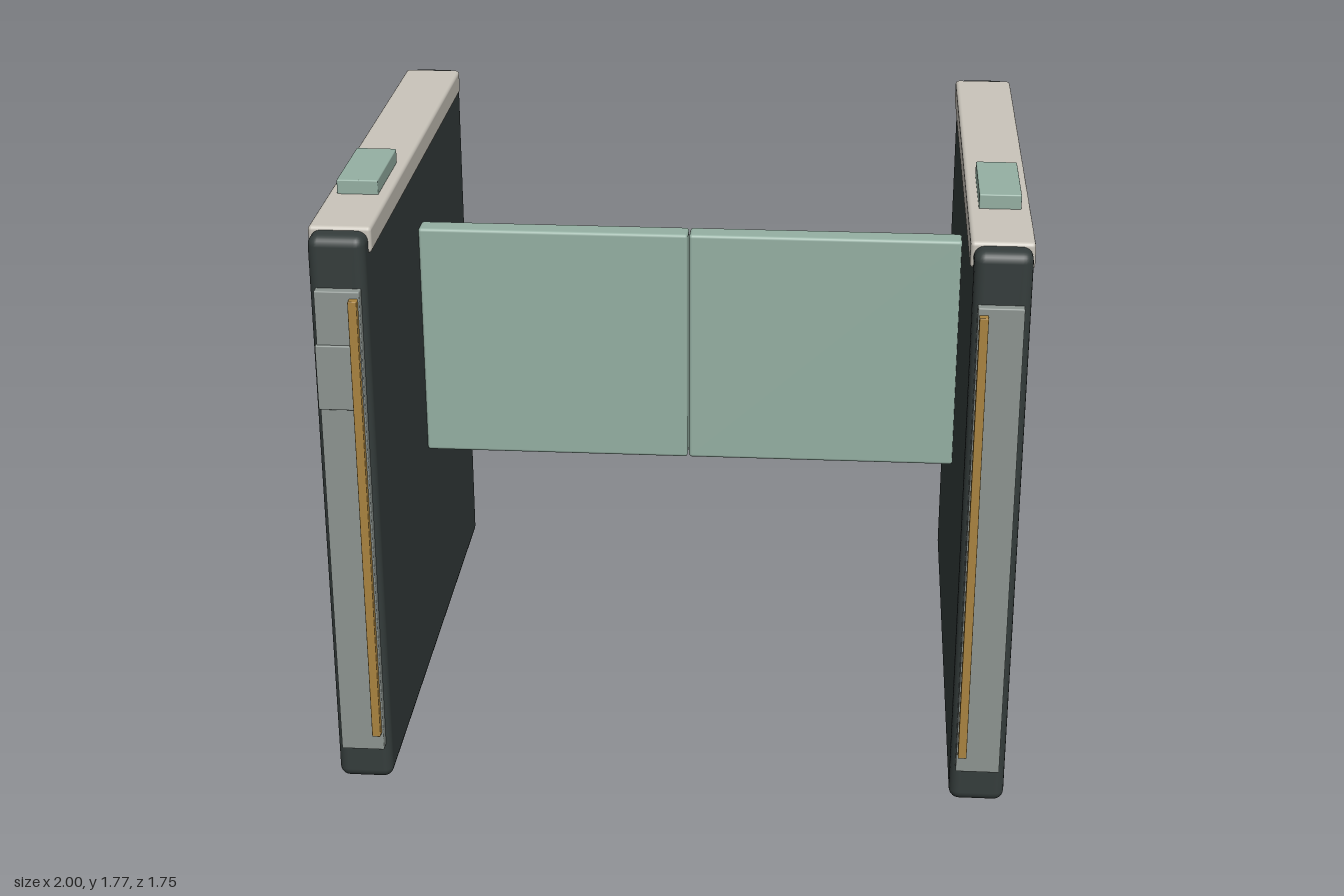
import * as THREE from 'three';
import { RoundedBoxGeometry } from 'three/addons/geometries/RoundedBoxGeometry.js';

const mat = (name, color) => new THREE.MeshStandardMaterial({ name, color });

export function createModel() {
  const group = new THREE.Group();
  group.name = 'turnstileGate';

  const dark = mat('charcoal', 0x353d3c);
  const stone = mat('warmGrey', 0xcac5bb);
  const green = mat('sageGreen', 0x95b0a3);
  const metal = mat('steelGrey', 0x8d9591);
  const gold = mat('brass', 0xaa8440);

  // Box given by its min/max on each axis, with an optional edge radius
  function box(name, material, [x0, x1], [y0, y1], [z0, z1], radius = 0) {
    const size = [x1 - x0, y1 - y0, z1 - z0];
    const geometry = radius
      ? new RoundedBoxGeometry(...size, 3, radius)
      : new THREE.BoxGeometry(...size);
    const mesh = new THREE.Mesh(geometry, material);
    mesh.name = name;
    mesh.position.set((x0 + x1) / 2, (y0 + y1) / 2, (z0 + z1) / 2);
    group.add(mesh);
  }

  for (const [side, s] of [['left', 1], ['right', -1]]) {
    // Mirrored x range
    const mx = (a, b) => (s > 0 ? [a, b] : [-b, -a]);

    // Cabinet and its top cover
    box(side + 'Cabinet', dark, mx(0.832, 0.993), [0, 1.723], [-0.877, 0.825], 0.03);
    box(side + 'TopCover', stone, mx(0.823, 1), [1.656, 1.733], [-0.82, 0.765], 0.012);

    // Card reader pad
    box(side + 'Reader', green, mx(0.854, 0.973), [1.73, 1.775], [0.18, 0.482], 0.004);

    // Front plate with light strip
    box(side + 'FrontPlate', metal, mx(0.847, 0.974), [0.118, 1.575], [0.8, 0.852], 0.004);
    box(side + 'LightStrip', gold, mx(0.851, 0.876), [0.176, 1.555], [0.84, 0.876], 0.003);

    // Swinging barrier wing
    box(side + 'Wing', green, mx(0.002, 0.834), [0.718, 1.463], [-0.07, 0.006], 0.01);
  }

  // Scanner box on the right cabinet only
  box('scannerBox', metal, [-0.978, -0.85], [1.222, 1.416], [0.82, 0.859], 0.004);

  return group;
}
